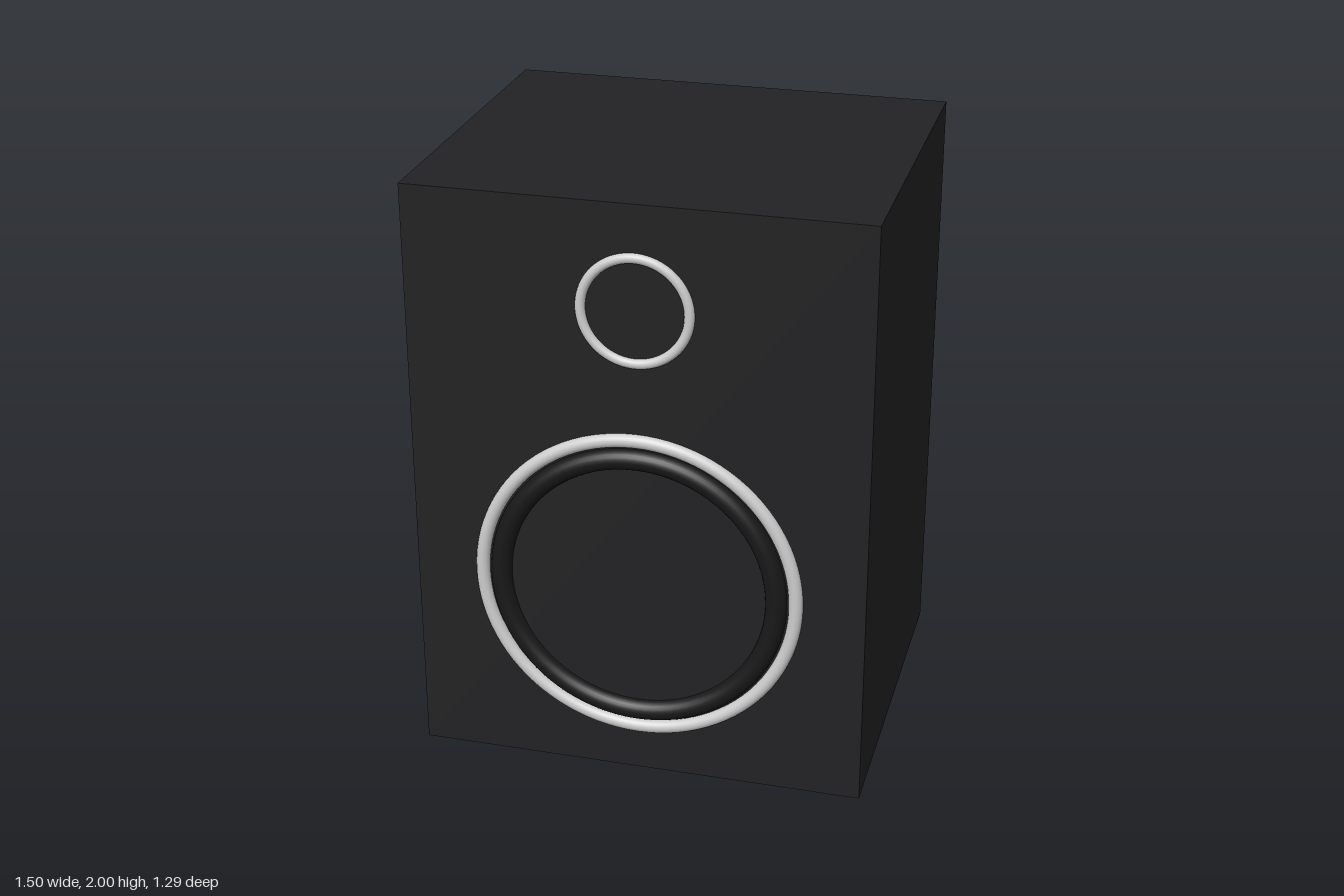
import * as THREE from 'three';

const FACE_Z = 0.608; // front face of the cabinet
const DEPTH = 1.25;

export function createModel() {
  const model = new THREE.Group();
  model.name = 'loudspeaker';

  const cabinetMat = new THREE.MeshStandardMaterial({ color: 0x222224 });
  const rubberMat = new THREE.MeshStandardMaterial({ color: 0x181818 });
  const trimMat = new THREE.MeshStandardMaterial({ color: 0xcccccc });

  const add = (name, geometry, material, y, z) => {
    const mesh = new THREE.Mesh(geometry, material);
    mesh.name = name;
    mesh.position.set(0, y, z);
    model.add(mesh);
  };

  // Ring half sunk into the front face
  const addRing = (name, radius, tube, material, y) =>
    add(name, new THREE.TorusGeometry(radius, tube, 24, 96), material, y, FACE_Z);

  // Sharp-edged cabinet
  add('cabinet', new THREE.BoxGeometry(1.5, 2, DEPTH), cabinetMat, 1, FACE_Z - DEPTH / 2);

  // Small upper driver
  addRing('tweeterRing', 0.174, 0.0165, trimMat, 1.653);

  // Large lower driver: bright trim around a dark rubber surround
  addRing('wooferRing', 0.524, 0.023, trimMat, 0.69);
  addRing('wooferSurround', 0.46, 0.035, rubberMat, 0.69);

  return model;
}
